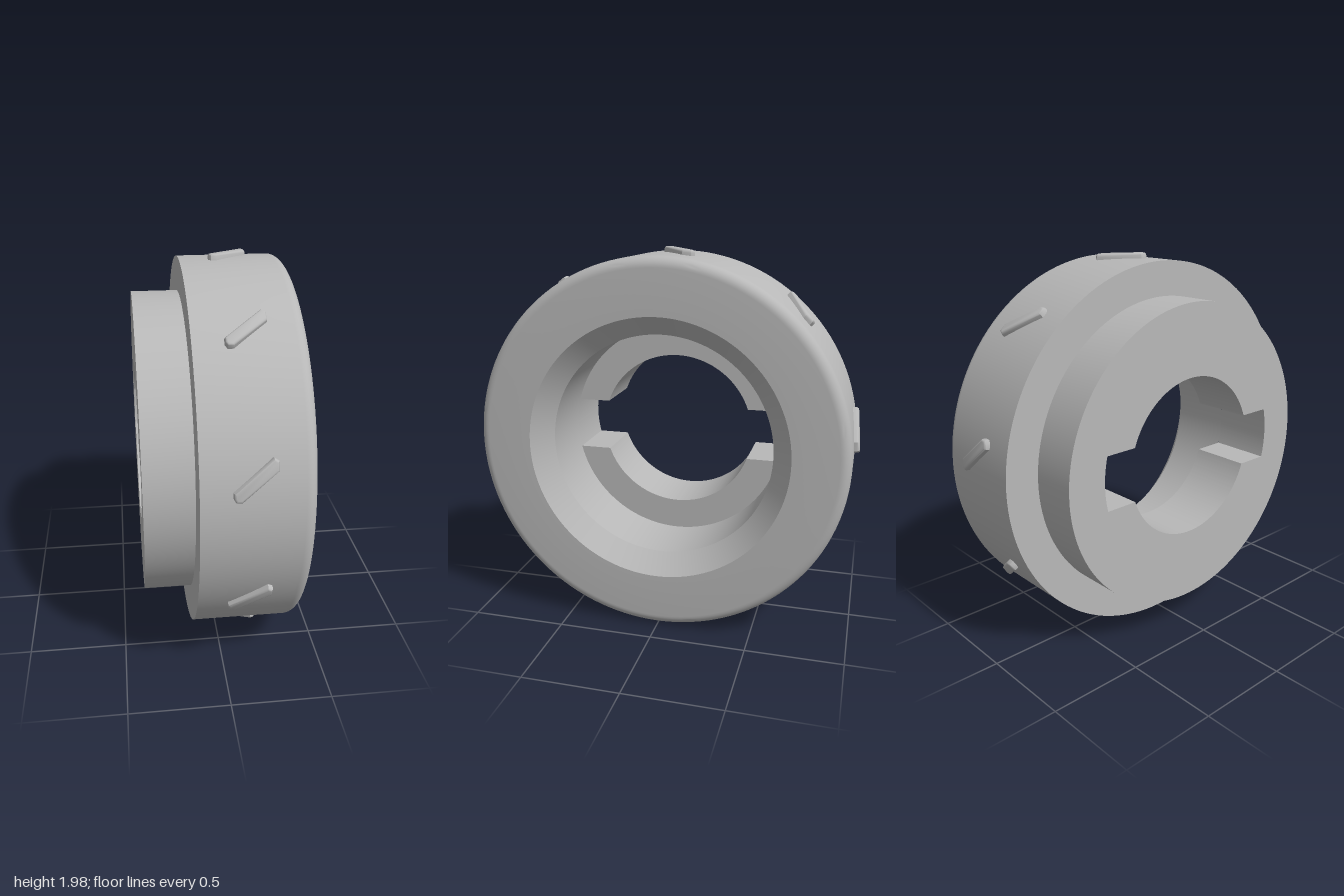
import * as THREE from 'three';
import { toCreasedNormals } from 'three/addons/utils/BufferGeometryUtils.js';

const CENTRE_Y = 0.985;
const BORE = 0.585;      // radius of the wide bore and of the slot ends
const FLOOR_X = -0.06;   // where the wide bore meets the slotted plate
const RIBS = 9;

// Outer ring with a rounded front edge and a chamfered bore, turned about x
function ringGeometry() {
  const outer = 0.972, front = 0.38, fillet = 0.055;
  const profile = [[0.78, -0.145], [outer, -0.145]];
  for (let i = 0; i <= 8; i++) {
    const a = (i / 8) * Math.PI / 2;
    profile.push([outer - fillet + fillet * Math.cos(a), front - fillet + fillet * Math.sin(a)]);
  }
  profile.push([0.685, front], [BORE, 0.28], [BORE, FLOOR_X]);
  const g = new THREE.LatheGeometry(profile.map(([r, x]) => new THREE.Vector2(r, x)), 128);
  g.rotateZ(-Math.PI / 2);
  return toCreasedNormals(g, 0.5);
}

// Rear hub: a disc with a round hole and two opposite keyway slots
function hubGeometry() {
  const back = -0.385, holeR = 0.42, half = 0.14;
  const a = Math.asin(half / holeR), b = Math.asin(half / BORE);
  const disc = new THREE.Shape();
  disc.absarc(0, 0, 0.795, 0, Math.PI * 2, false);
  const hole = new THREE.Path();
  for (const turn of [0, Math.PI]) {
    hole.absarc(0, 0, BORE, turn - b, turn + b, false);
    hole.absarc(0, 0, holeR, turn + a, turn + Math.PI - a, false);
  }
  hole.closePath();
  disc.holes.push(hole);
  const g = new THREE.ExtrudeGeometry(disc, { depth: FLOOR_X - back, bevelEnabled: false, curveSegments: 64 });
  g.rotateY(Math.PI / 2);
  g.translate(back, 0, 0);
  return toCreasedNormals(g, 0.5);
}

// Slanted grip rib with softened edges, standing out along z
function ribGeometry() {
  const outline = [[0.012, -0.07], [0.018, -0.08], [0.034, -0.08], [0.188, 0.047], [0.188, 0.08], [0.178, 0.086], [0.012, -0.053]];
  const shape = new THREE.Shape(outline.map(([x, y]) => new THREE.Vector2(x, y)));
  const g = new THREE.ExtrudeGeometry(shape, {
    depth: 0.06, bevelThickness: 0.015, bevelSize: 0.012, bevelSegments: 3,
  });
  g.translate(0, 0, 0.922);
  return toCreasedNormals(g, 0.7);
}

export function createModel() {
  const metal = new THREE.MeshStandardMaterial({ color: 0xb8b8b8 });
  metal.name = 'grey';
  const model = new THREE.Group();
  model.name = 'slottedCollar';
  const add = (name, geometry) => {
    const mesh = new THREE.Mesh(geometry, metal);
    mesh.name = name;
    mesh.position.y = CENTRE_Y;
    model.add(mesh);
    return mesh;
  };

  add('outerRing', ringGeometry());
  add('slottedHub', hubGeometry());

  // Ribs evenly spaced around the rim, the first just behind the top
  const rib = ribGeometry();
  for (let i = 0; i < RIBS; i++) {
    const angle = THREE.MathUtils.degToRad(3) + (i / RIBS) * Math.PI * 2;
    add(`gripRib${i + 1}`, rib).rotation.x = -(Math.PI / 2 + angle);
  }
  return model;
}
